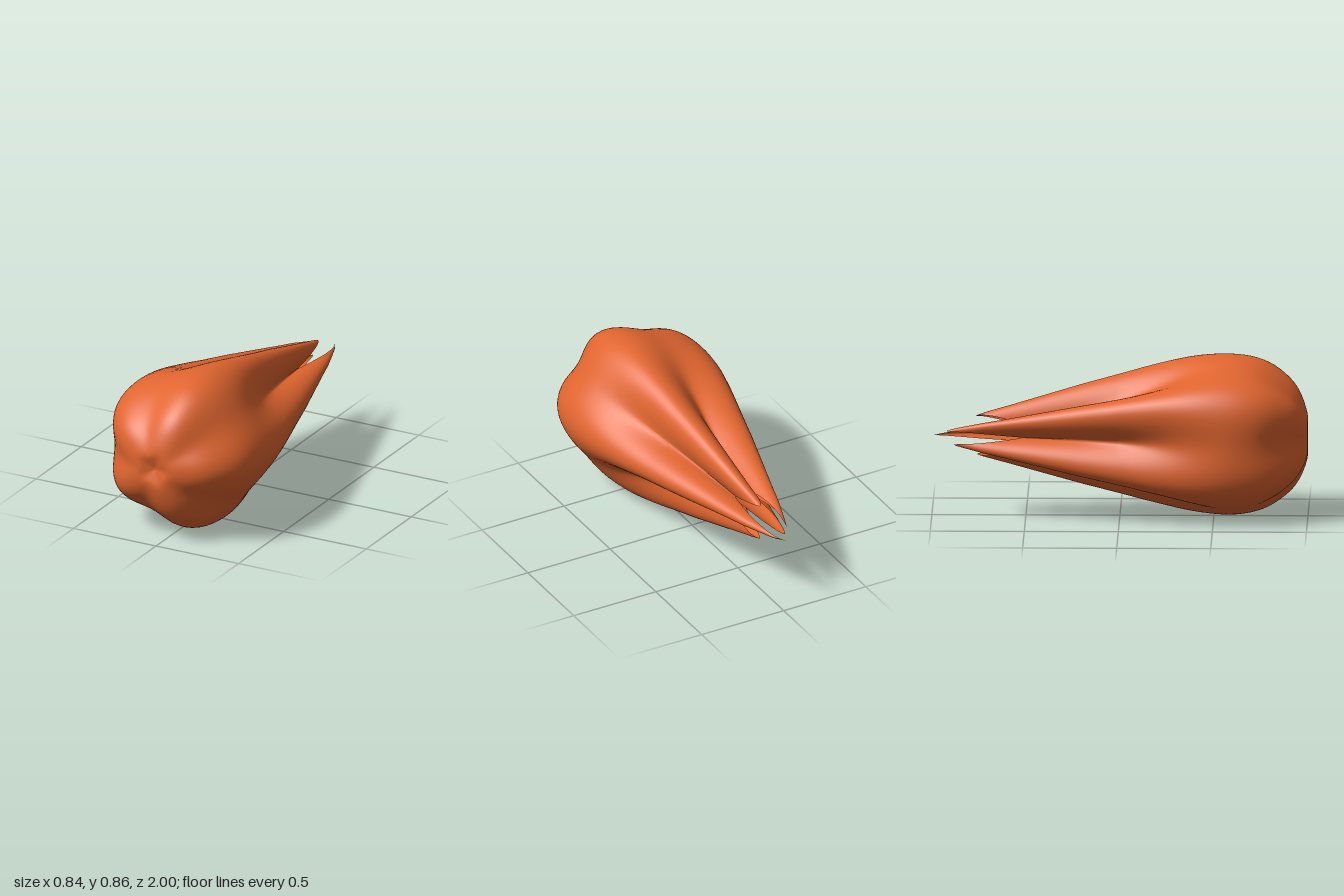
import * as THREE from 'three';

const CX = -0.02, CY = 0.427, LOBES = 5;
const SEG = 120, FRONT = 36, TAIL = 30;

// Rows of (z, crest radius, groove radius) from the nose to mid body
const front = new THREE.CatmullRomCurve3([
  [0.975, 0, 0], [0.99, 0.05, 0.045], [1.0, 0.1, 0.085], [0.982, 0.18, 0.145],
  [0.95, 0.255, 0.2], [0.9, 0.32, 0.262], [0.8, 0.395, 0.34], [0.7, 0.43, 0.385],
  [0.57, 0.443, 0.4], [0.4, 0.432, 0.365], [0.2, 0.39, 0.285], [0, 0.335, 0.205],
].map((p) => new THREE.Vector3(...p)));

// The same rows along the tapering tail
const tail = [
  [0, 0.335, 0.205], [-0.2, 0.28, 0.14], [-0.4, 0.22, 0.085], [-0.6, 0.16, 0.04],
  [-0.72, 0.125, 0.025], [-0.82, 0.09, 0.015], [-0.93, 0.05, 0.008], [-1, 0.006, 0.003],
];
// Where each petal tip ends, starting from the left petal
const tips = [-1, -0.77, -0.92, -0.88, -0.76];

function tailRadii(z) {
  let i = 0;
  while (i < tail.length - 2 && z < tail[i + 1][0]) i++;
  const a = tail[i], b = tail[i + 1], k = (z - a[0]) / (b[0] - a[0]);
  return [a[1] + (b[1] - a[1]) * k, a[2] + (b[2] - a[2]) * k];
}

// Lobed surface whose open rear edge is cut into five points
function budGeometry() {
  const pos = [], index = [];
  const rows = FRONT + TAIL;
  for (let i = 0; i <= rows; i++) {
    for (let j = 0; j < SEG; j++) {
      const a = (j / SEG) * Math.PI * 2;
      const lobe = Math.round((a * LOBES) / (Math.PI * 2)) % LOBES;
      const crest = Math.abs(Math.cos((a * LOBES) / 2));
      let z, R, V;
      if (i <= FRONT) {
        const p = front.getPoint(i / FRONT);
        [z, R, V] = [p.x, p.y, p.z];
      } else {
        const end = -0.52 + (tips[lobe] + 0.52) * Math.pow(crest, 1.4);
        z = (end * (i - FRONT)) / TAIL;
        [R, V] = tailRadii(z);
      }
      // Grooves sharpen toward the tail
      const power = THREE.MathUtils.lerp(2, 1.1, THREE.MathUtils.smoothstep(0.5 - z, 0, 1));
      const r = Math.max(0, V + (R - V) * Math.pow(crest, power));
      pos.push(CX + r * Math.cos(a), CY + r * Math.sin(a), z);
      if (i < rows) {
        const n = (j + 1) % SEG, p = i * SEG + j, q = i * SEG + n;
        if (i > 0) index.push(p, p + SEG, q);
        index.push(q, p + SEG, q + SEG);
      }
    }
  }
  const g = new THREE.BufferGeometry();
  g.setAttribute('position', new THREE.Float32BufferAttribute(pos, 3));
  g.setIndex(index);
  g.computeVertexNormals();
  // Shared straight-ahead normal at the nose
  for (let j = 0; j < SEG; j++) g.attributes.normal.setXYZ(j, 0, 0, 1);
  return g;
}

export function createModel() {
  const orange = new THREE.MeshStandardMaterial({ color: 0xe0652f, side: THREE.DoubleSide });
  orange.name = 'orange';
  const group = new THREE.Group();
  group.name = 'flowerBud';
  const bud = new THREE.Mesh(budGeometry(), orange);
  bud.name = 'closedPetals';
  group.add(bud);
  return group;
}
